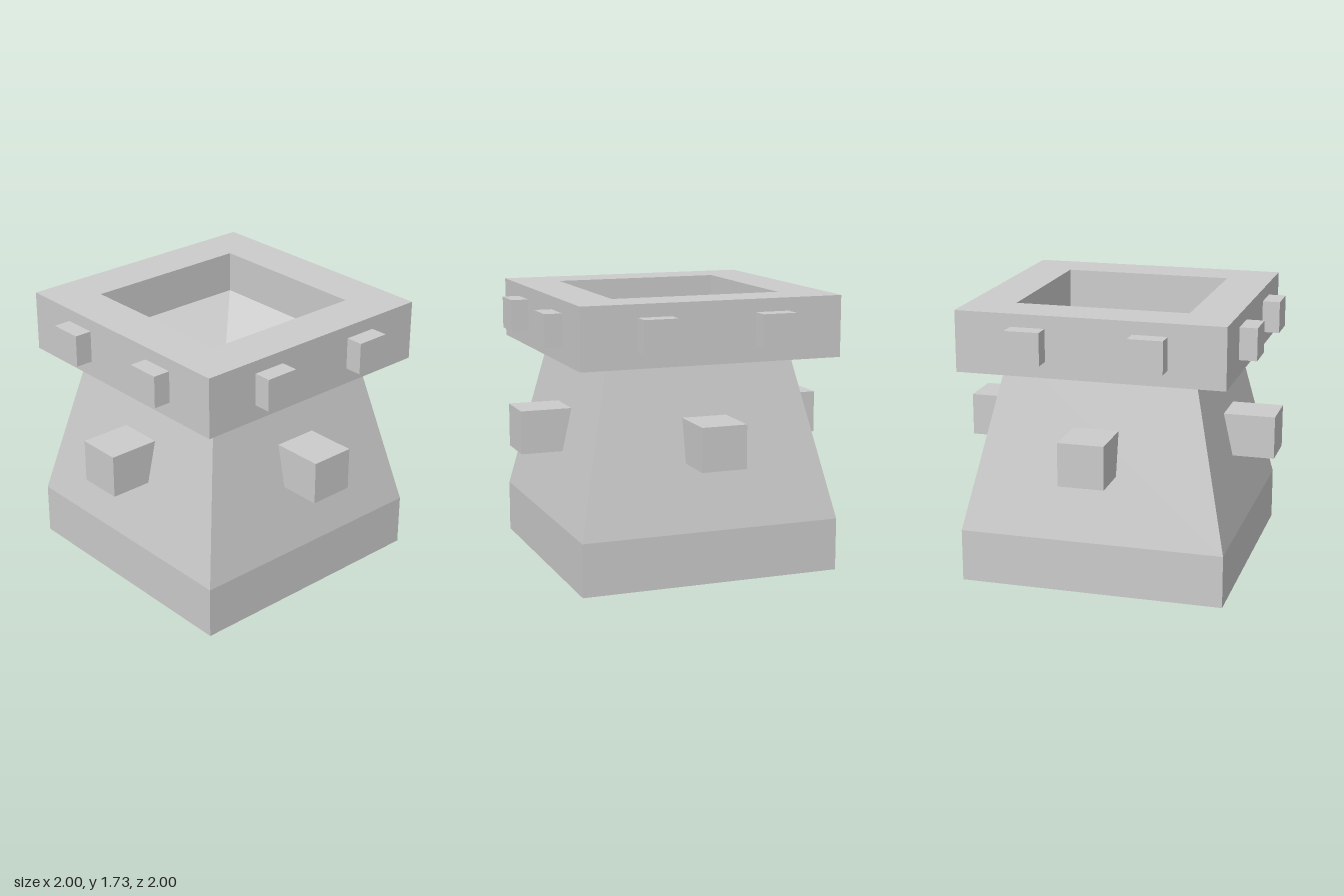
import * as THREE from 'three';

const material = new THREE.MeshStandardMaterial({ color: 0xcccccc, flatShading: true, side: THREE.DoubleSide });

function addMesh(parent, name, geometry) {
  const mesh = new THREE.Mesh(geometry, material);
  mesh.name = name;
  parent.add(mesh);
  return mesh;
}

// Square shell swept from a profile of [half width, height] points
function squareShell(profile) {
  const points = profile.map(([half, y]) => new THREE.Vector2(half * Math.SQRT2, y));
  const geometry = new THREE.LatheGeometry(points, 4, Math.PI / 4).toNonIndexed();
  geometry.computeVertexNormals();
  return geometry;
}

export function createModel() {
  const group = new THREE.Group();

  // Open-bottomed plinth and tapering body, its top tucked inside the collar
  addMesh(group, 'body', squareShell([[0.83, 0], [0.83, 0.33], [0.573, 1.465], [0.54, 1.465]]));

  // Collar open underneath, with a square well ending in an inverted pyramid
  addMesh(group, 'collar', squareShell([[0.83, 1.35], [0.83, 1.73], [0.54, 1.73], [0.54, 1.465], [0, 1.085]]));

  // Two crossing beams whose ends stick out of the body
  for (let i = 0; i < 2; i++) {
    const beam = addMesh(group, 'crossBeam', new THREE.BoxGeometry(0.285, 0.27, 2));
    beam.position.y = 0.875;
    beam.rotation.y = i * Math.PI / 2;
  }

  // Two small studs on every side of the collar
  for (let i = 0; i < 4; i++) {
    const side = new THREE.Group();
    side.name = 'collarStuds';
    side.rotation.y = i * Math.PI / 2;
    for (const x of [-0.373, 0.373]) {
      addMesh(side, 'stud', new THREE.BoxGeometry(0.214, 0.2, 0.16)).position.set(x, 1.55, 0.86);
    }
    group.add(side);
  }

  return group;
}
